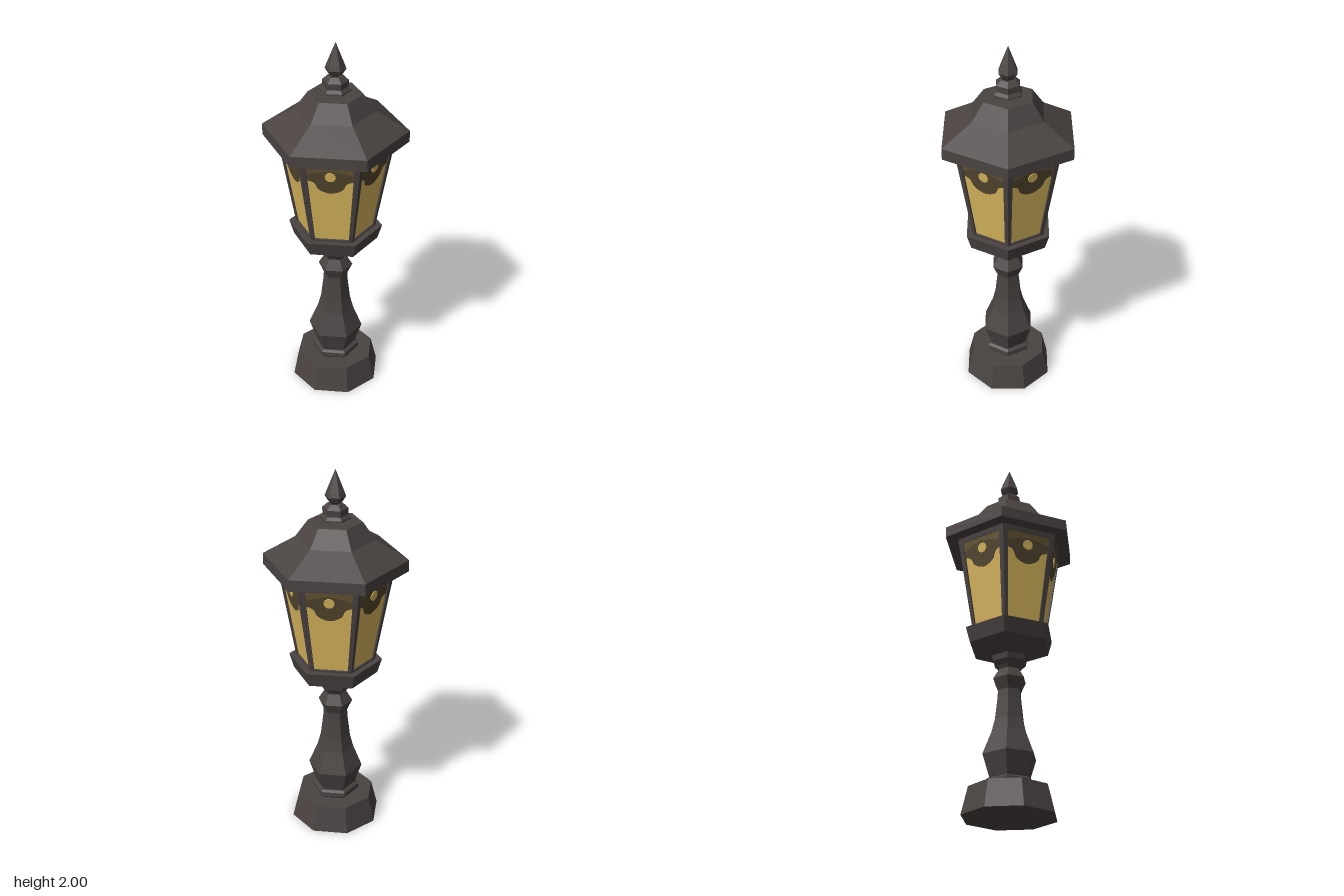
import * as THREE from 'three';

const iron = new THREE.MeshStandardMaterial({ color: 0x4a4342 });
iron.name = 'dark iron';
const amber = new THREE.MeshStandardMaterial({ color: 0xdcb95f });
amber.name = 'amber glass';
const bronze = new THREE.MeshStandardMaterial({ color: 0x54472f });
bronze.name = 'bronze valance';
const umber = new THREE.MeshStandardMaterial({ color: 0x665636 });
umber.name = 'umber glass';

// Faceted turned part: profile of [radius, y] from bottom to top
function turned(name, profile, sides = 6, start = Math.PI / 2) {
  const pts = profile.map(([r, y]) => new THREE.Vector2(r, y));
  const geo = new THREE.LatheGeometry(pts, sides, start).toNonIndexed();
  geo.computeVertexNormals();
  const mesh = new THREE.Mesh(geo, iron);
  mesh.name = name;
  return mesh;
}

// Lantern body dimensions
const Y0 = 0.97, Y1 = 1.49, R0 = 0.208, R1 = 0.3;
const APOTHEM = Math.cos(Math.PI / 6);
const RISE = Y1 - Y0, RUN = (R1 - R0) * APOTHEM;
const SLANT = Math.hypot(RISE, RUN);

// Position on a side panel: height y, distance x from its middle
const at = (x, y) => new THREE.Vector2(x, ((y - Y0) / RISE) * SLANT);
const halfWidth = (y) => (R0 + ((R1 - R0) * (y - Y0)) / RISE) / 2;
const opening = (y) => halfWidth(y) - 0.018 - 0.01 * ((y - Y0) / RISE);

function trapezoid(yLow, yHigh, width) {
  const a = width(yLow), b = width(yHigh);
  return [at(-a, yLow), at(a, yLow), at(b, yHigh), at(-b, yHigh)];
}

// Flat plate with its front at depth z
function plate(name, shape, material, z, depth) {
  const geo = new THREE.ExtrudeGeometry(shape, { depth, bevelEnabled: false, curveSegments: 8 });
  geo.translate(0, 0, z - depth);
  const mesh = new THREE.Mesh(geo, material);
  mesh.name = name;
  return mesh;
}

function lanternSide() {
  const side = new THREE.Group();
  side.name = 'lanternSide';
  const panel = new THREE.Group();
  panel.name = 'sidePanel';
  panel.position.set(0, Y0, R0 * APOTHEM);
  panel.rotation.x = Math.atan2(RUN, RISE);

  // Iron frame around the window
  const frame = new THREE.Shape(trapezoid(Y0, Y1, halfWidth));
  frame.holes.push(new THREE.Path(trapezoid(0.99, 1.457, opening)));
  panel.add(plate('windowFrame', frame, iron, 0, 0.018));

  // Amber pane behind the frame
  const pane = new THREE.Shape(trapezoid(0.98, 1.465, (y) => opening(y) + 0.005));
  panel.add(plate('glassPane', pane, amber, -0.009, 0.006));

  // Scalloped valance hanging at the top of the pane
  const w = opening(1.37);
  const hem = new THREE.SplineCurve([
    at(-w, 1.37), at(-0.08, 1.355), at(-0.058, 1.315), at(0, 1.292),
    at(0.058, 1.315), at(0.08, 1.355), at(w, 1.37),
  ]).getPoints(24);
  const t = opening(1.457);
  const valance = new THREE.Shape([...hem, at(t, 1.457), at(-t, 1.457)]);
  panel.add(plate('valance', valance, bronze, -0.006, 0.003));

  // Lighter strip above a shallow curve
  const v = opening(1.415);
  const sag = new THREE.SplineCurve([at(-v, 1.405), at(0, 1.432), at(v, 1.405)]).getPoints(10);
  const strip = new THREE.Shape([...sag, at(t, 1.457), at(-t, 1.457)]);
  panel.add(plate('valanceStrip', strip, umber, -0.0045, 0.0015));

  // Round amber jewel
  const jewel = new THREE.Mesh(new THREE.CylinderGeometry(0.027, 0.027, 0.004, 16), amber);
  jewel.name = 'jewel';
  jewel.rotation.x = Math.PI / 2;
  const c = at(0, 1.395);
  jewel.position.set(c.x, c.y, -0.004);
  panel.add(jewel);

  side.add(panel);
  return side;
}

export function createModel() {
  const model = new THREE.Group();
  model.name = 'lantern';

  // Eight-sided plinth
  model.add(turned('plinth', [[0, 0], [0.245, 0], [0.21, 0.145], [0, 0.145]], 8, Math.PI / 8));

  // Collar on the plinth
  model.add(turned('baseCollar', [
    [0, 0.14], [0.115, 0.14], [0.128, 0.155], [0.128, 0.18], [0.115, 0.19], [0, 0.19],
  ]));

  // Baluster post
  model.add(turned('post', [
    [0, 0.185], [0.105, 0.185], [0.115, 0.215], [0.146, 0.31], [0.098, 0.43], [0.08, 0.5],
    [0.066, 0.62], [0.064, 0.66], [0.091, 0.72], [0.058, 0.775], [0.07, 0.795],
    [0.092, 0.815], [0.1, 0.85], [0, 0.85],
  ]));

  // Cup that carries the lantern
  model.add(turned('lanternCup', [
    [0, 0.845], [0.1, 0.845], [0.222, 0.9], [0.246, 0.98], [0, 0.98],
  ]));

  // Six window sides
  for (let i = 0; i < 6; i++) {
    const side = lanternSide();
    side.rotation.y = (i * Math.PI) / 3;
    model.add(side);
  }

  // Stepped roof
  model.add(turned('roof', [
    [0, 1.485], [0.37, 1.485], [0.37, 1.545], [0.202, 1.645], [0.137, 1.735], [0, 1.735],
  ]));

  // Peg, finial collar and spike
  model.add(turned('finialPeg', [[0.02, 1.73], [0.02, 1.755]]));
  model.add(turned('finialCollar', [
    [0, 1.75], [0.078, 1.75], [0.078, 1.757], [0.064, 1.772], [0.066, 1.805], [0.04, 1.828], [0, 1.828],
  ]));
  model.add(turned('finialSpike', [
    [0, 1.82], [0.024, 1.825], [0.036, 1.838], [0.053, 1.865], [0.046, 1.885], [0, 2],
  ]));

  return model;
}
